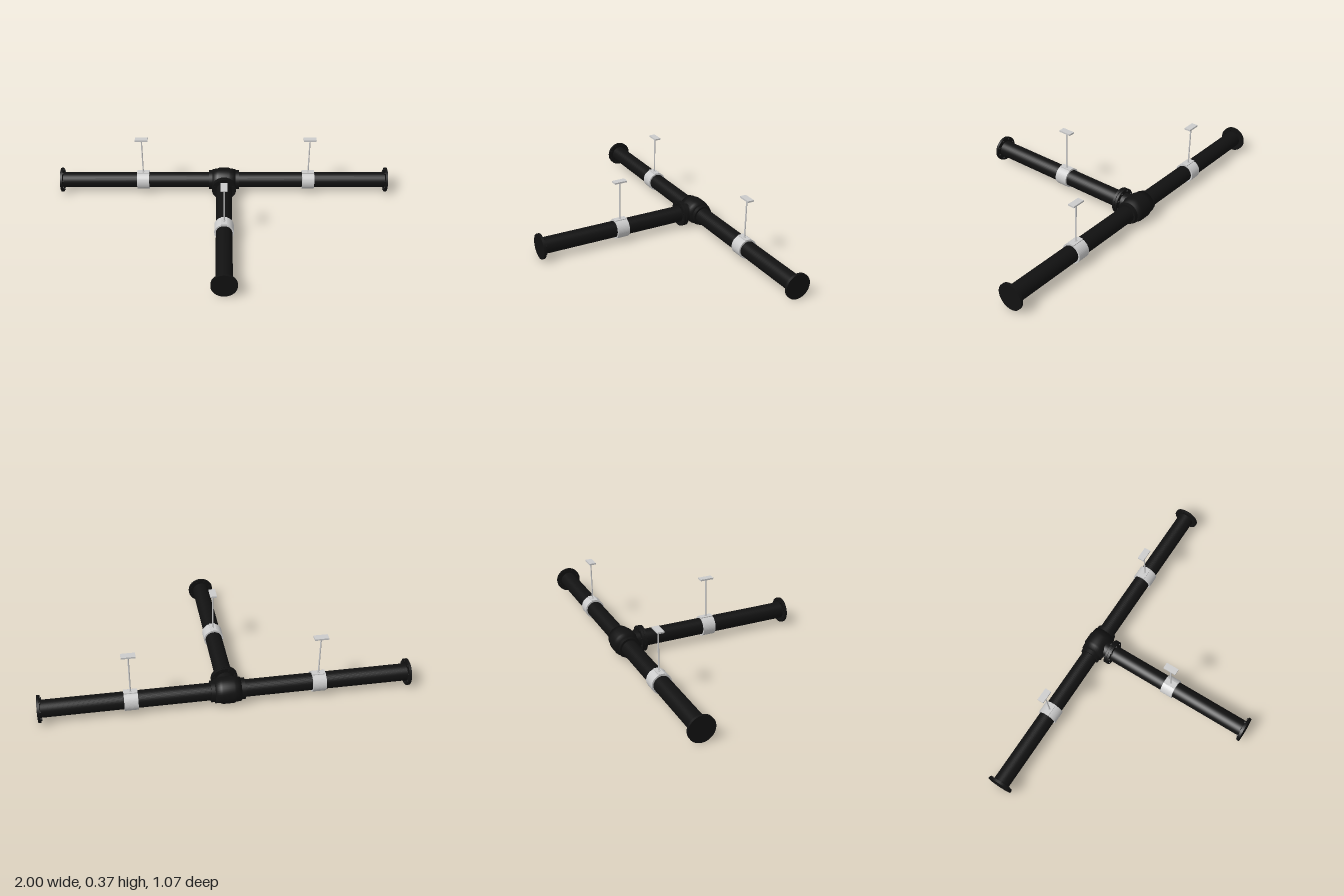
import * as THREE from 'three';

const AXIS_Y = 0.075, MAIN_Z = -0.463, PIPE_R = 0.047;
const black = new THREE.MeshStandardMaterial({ color: 0x111111 });
const grey = new THREE.MeshStandardMaterial({ color: 0xcccccc });

function add(parent, name, geometry, material, x = 0, y = 0, z = 0) {
  const mesh = new THREE.Mesh(geometry, material);
  mesh.name = name;
  mesh.position.set(x, y, z);
  parent.add(mesh);
  return mesh;
}

// Cylinder lying along x, between two x positions
function bar(parent, name, r, x0, x1, material, segments = 40) {
  const geometry = new THREE.CylinderGeometry(r, r, x1 - x0, segments).rotateZ(Math.PI / 2);
  return add(parent, name, geometry, material, (x0 + x1) / 2);
}

// Flange disc with a ring of bolts standing out on the given side
function flange(parent, x0, x1, boltX0, boltX1) {
  const g = new THREE.Group();
  g.name = 'flange';
  bar(g, 'flangeDisc', 0.073, x0, x1, black);
  for (let i = 0; i < 8; i++) {
    const a = ((i + 0.5) / 8) * Math.PI * 2;
    const bolt = bar(g, 'flangeBolt', 0.007, boltX0, boltX1, black, 6);
    bolt.position.y = Math.cos(a) * 0.06;
    bolt.position.z = Math.sin(a) * 0.06;
  }
  parent.add(g);
}

// Pipe clamp with threaded rod and ceiling plate, on a pipe along x
function hanger(parent, x) {
  const g = new THREE.Group();
  g.name = 'hanger';
  g.position.x = x;
  const w = 0.037;
  const shape = new THREE.Shape().absarc(0, 0, 0.056, 0, Math.PI * 2);
  shape.holes.push(new THREE.Path().absarc(0, 0, PIPE_R, 0, Math.PI * 2, true));
  const ring = new THREE.ExtrudeGeometry(shape, { depth: w * 2, bevelEnabled: false, curveSegments: 24 });
  add(g, 'clampRing', ring.translate(0, 0, -w).rotateY(Math.PI / 2), grey);
  add(g, 'clampPad', new THREE.BoxGeometry(w * 2, 0.008, 0.034), grey, 0, 0.054, 0);
  add(g, 'rodNut', new THREE.CylinderGeometry(0.008, 0.008, 0.004, 6), grey, 0, 0.059, 0);
  add(g, 'hangerRod', new THREE.CylinderGeometry(0.004, 0.004, 0.23, 12), grey, 0, 0.17, 0);
  add(g, 'ceilingPlate', new THREE.BoxGeometry(0.076, 0.009, 0.037), grey, 0, 0.288, 0);
  parent.add(g);
}

export function createModel() {
  const model = new THREE.Group();
  model.name = 'pipeTee';

  // Main run along x
  const run = new THREE.Group();
  run.name = 'mainRun';
  run.position.set(0, AXIS_Y, MAIN_Z);
  bar(run, 'mainPipe', PIPE_R, -0.998, 0.998, black);
  for (const side of [-1, 1]) {
    const end = new THREE.Group();
    end.name = 'runEnd';
    if (side < 0) end.rotation.y = Math.PI;
    flange(end, 0.986, 1, 0.98, 0.987);
    run.add(end);
  }
  hanger(run, -0.495);
  hanger(run, 0.515);

  // Tee fitting: swollen hub with a stepped collar on each side
  const hubProfile = [[0, -0.07], [0.065, -0.07], [0.068, -0.04], [0.073, -0.03],
    [0.073, 0.03], [0.068, 0.04], [0.065, 0.07], [0, 0.07]].map(p => new THREE.Vector2(...p));
  const hub = new THREE.LatheGeometry(hubProfile, 40).rotateZ(Math.PI / 2);
  add(run, 'teeHub', hub, black);
  bar(run, 'teeCollar', 0.058, -0.092, 0.092, black);
  model.add(run);

  // Branch, built along x and turned so that it runs forward along +z
  const branch = new THREE.Group();
  branch.name = 'branch';
  branch.position.set(0, AXIS_Y, MAIN_Z);
  branch.rotation.y = -Math.PI / 2;
  const end = 0.535 - MAIN_Z;
  bar(branch, 'branchPipe', PIPE_R, 0.03, end - 0.002, black);
  bar(branch, 'branchNeck', 0.05, 0.04, 0.09, black);
  flange(branch, 0.085, 0.098, 0.079, 0.086);
  flange(branch, 0.1, 0.113, 0.112, 0.118);
  bar(branch, 'flangeGasket', 0.069, 0.097, 0.101, black);
  flange(branch, end - 0.014, end, end - 0.021, end - 0.013);
  hanger(branch, 0.501);
  model.add(branch);

  return model;
}
